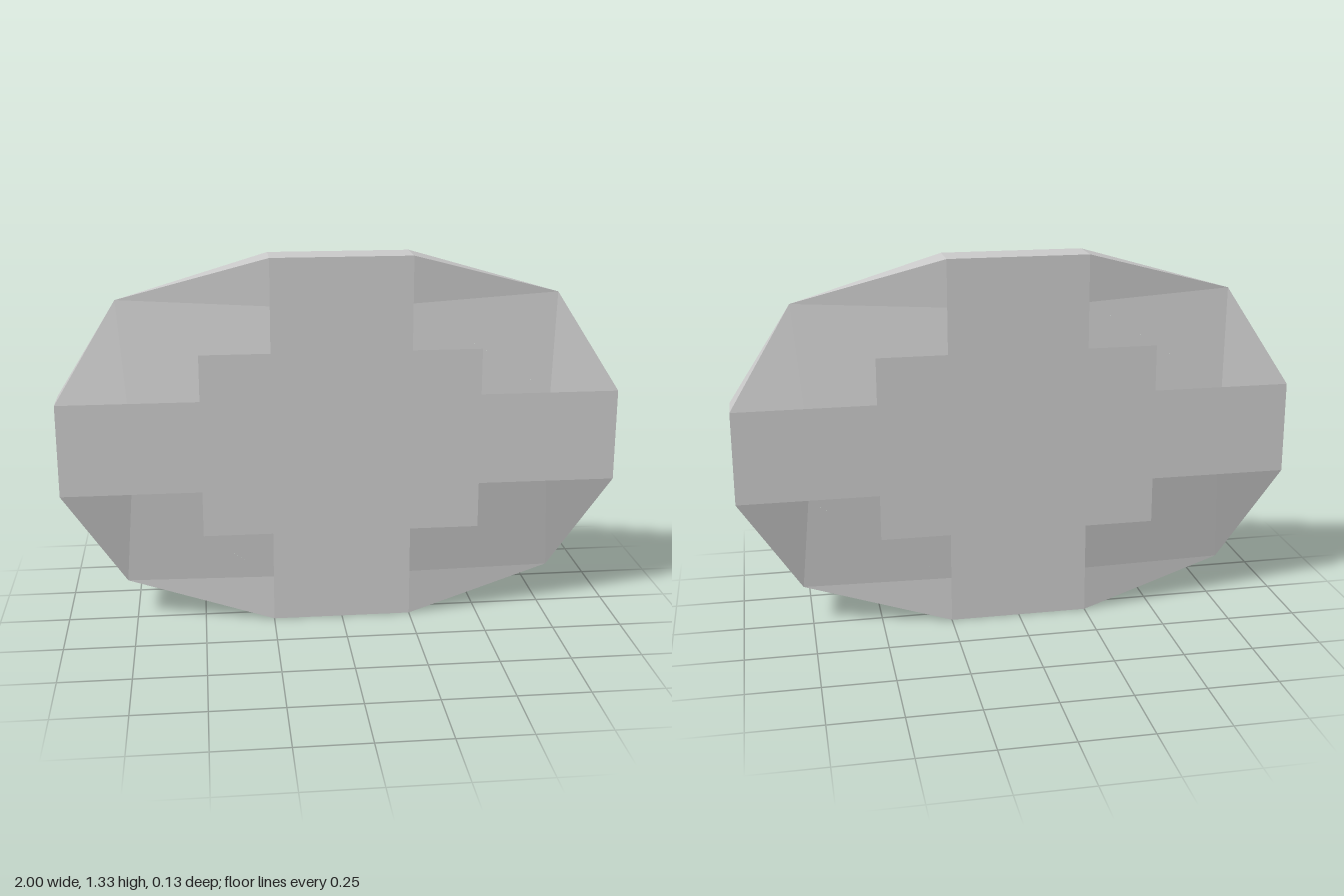
import * as THREE from 'three';

const T = 0.0667; // half thickness
const H = 0.6667; // half height

// Collects flat polygons; every polygon carries one shared normal.
function makeBuilder() {
  const positions = [], normals = [];
  const v = (p) => new THREE.Vector3(...p);
  // corners: polygon outline; tris: index triples (default is a fan from corner 0)
  function add(corners, sign, tris) {
    const [sx, sy, sz] = sign;
    const flip = sx * sy * sz < 0;
    const pts = corners.map((c) => v(c).multiply(v(sign)));
    const fan = [];
    for (let i = 1; i < pts.length - 1; i++) fan.push([0, i, i + 1]);
    const normal = new THREE.Vector3();
    for (const [a, b, c] of fan) {
      normal.add(pts[b].clone().sub(pts[a]).cross(pts[c].clone().sub(pts[a])));
    }
    normal.normalize().multiplyScalar(flip ? -1 : 1);
    for (const [a, b, c] of tris || fan) {
      for (const i of flip ? [a, c, b] : [a, b, c]) {
        positions.push(...pts[i].toArray());
        normals.push(...normal.toArray());
      }
    }
  }
  function mesh(name) {
    const geometry = new THREE.BufferGeometry();
    geometry.setAttribute('position', new THREE.Float32BufferAttribute(positions, 3));
    geometry.setAttribute('normal', new THREE.Float32BufferAttribute(normals, 3));
    const m = new THREE.Mesh(geometry, new THREE.MeshStandardMaterial({ color: 0xcccccc }));
    m.name = name;
    return m;
  }
  return { add, mesh };
}

export function createModel() {
  const group = new THREE.Group();
  group.name = 'facetedPlate';
  const faces = makeBuilder(), corners = makeBuilder(), rim = makeBuilder();

  // Points of one quarter, on the front plane; the tip lies on the mid plane
  const A = [0.25, H, T], B = [0.25, 0.5, T], C = [0.25, 0.3333, T];
  const D = [0.5, 0.3333, T], E = [0.5, 0.1667, T], G = [0.75, 0.1667, T], F = [1, 0.1667, T];
  const tip = [0.78, 0.52, 0];
  const back = ([x, y, z]) => [x, y, -z];
  const top = [0, H, T], side = [1, 0, T];

  for (const sx of [1, -1]) for (const sy of [1, -1]) {
    for (const sz of [1, -1]) {
      const sign = [sx, sy, sz];
      // stepped flat cross
      faces.add([[0, 0, T], side, F, E, D, C, A, top], sign);
      // bevelled corner: two slivers and the large stepped facet
      corners.add([tip, A, B], sign);
      corners.add([tip, G, F], sign);
      const folded = sx * sy * sz < 0;
      corners.add([tip, B, C, D, E, G], sign, folded ? undefined : [[0, 1, 5], [1, 2, 3], [3, 4, 5]]);
    }
    // outer edge
    const sign = [sx, sy, 1];
    rim.add([top, A, back(A), back(top)], sign);
    rim.add([F, side, back(side), back(F)], sign);
    rim.add([A, tip, back(A)], sign);
    rim.add([F, back(F), tip], sign);
  }

  group.add(faces.mesh('steppedFaces'), corners.mesh('bevelledCorners'), rim.mesh('rim'));
  for (const m of group.children) m.position.y = H;
  return group;
}
